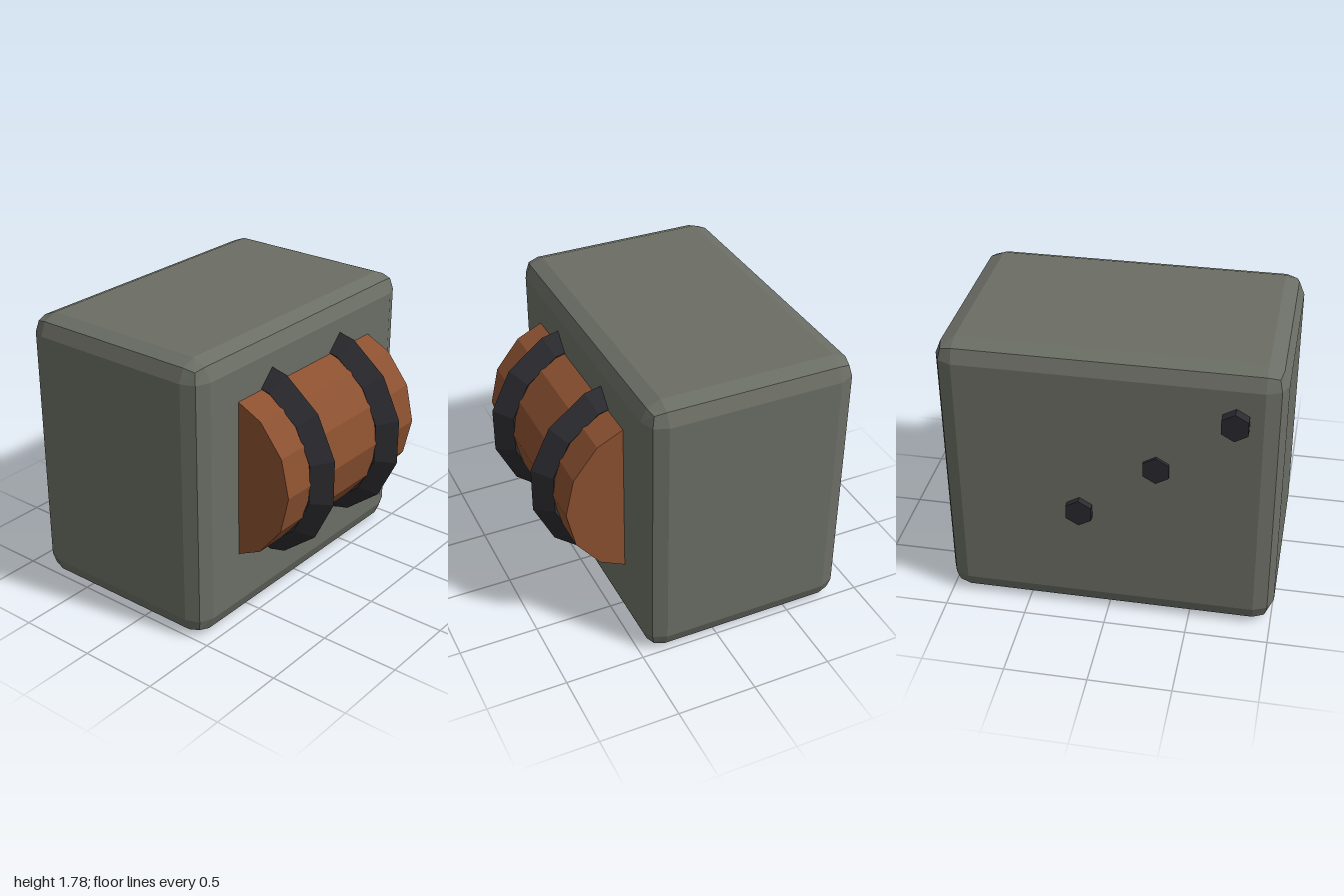
import * as THREE from 'three';
import { RoundedBoxGeometry } from 'three/addons/geometries/RoundedBoxGeometry.js';

const paint = (color) => new THREE.MeshStandardMaterial({ color, flatShading: true });

export function createModel() {
  const group = new THREE.Group();
  const stone = paint(0x6b6e65);
  const wood = paint(0x8b5030);
  const iron = paint(0x2b2b30);

  const add = (name, geometry, material, x, y, z) => {
    const mesh = new THREE.Mesh(geometry, material);
    mesh.name = name;
    mesh.position.set(x, y, z);
    group.add(mesh);
    return mesh;
  };

  // Block with coarsely rounded edges; one-segment rounding falls a little
  // short of the nominal size, so each side is grown to make up for it
  const radius = 0.12;
  const grow = 2 * radius * (1 - 3 / Math.sqrt(11));
  add('block', new RoundedBoxGeometry(2 + grow, 1.76 + grow, 1.3 + grow, 1, radius), stone, 0, 0.88, -0.2);

  // Barrel lying across the front, half sunk into the block
  const sides = 14;
  const axisY = 0.945;
  const axisZ = 0.282;
  const barrel = new THREE.CylinderGeometry(0.544, 0.544, 1.3, sides).rotateZ(Math.PI / 2);
  add('barrel', barrel, wood, 0, axisY, axisZ);

  // Diamond-section hoops, turned half a side against the barrel
  const hoop = new THREE.TorusGeometry(0.551, 0.104, 4, sides)
    .rotateZ(Math.PI / sides)
    .rotateY(Math.PI / 2);
  add('leftHoop', hoop, iron, 0.338, axisY, axisZ);
  add('rightHoop', hoop, iron, -0.338, axisY, axisZ);

  // Hexagonal bolts in a diagonal row on the back: x, y, z of the outer end
  const bolts = [
    [-0.735, 1.452, -0.925],
    [-0.29, 1.077, -0.88],
    [0.165, 0.73, -0.903],
    [0.645, 0.372, -0.861],
  ];
  const length = 0.14;
  const boltGeometry = new THREE.CylinderGeometry(0.088, 0.088, length, 6).rotateX(Math.PI / 2);
  bolts.forEach(([x, y, z], i) => add(`bolt${i + 1}`, boltGeometry, iron, x, y, z + length / 2));

  return group;
}
